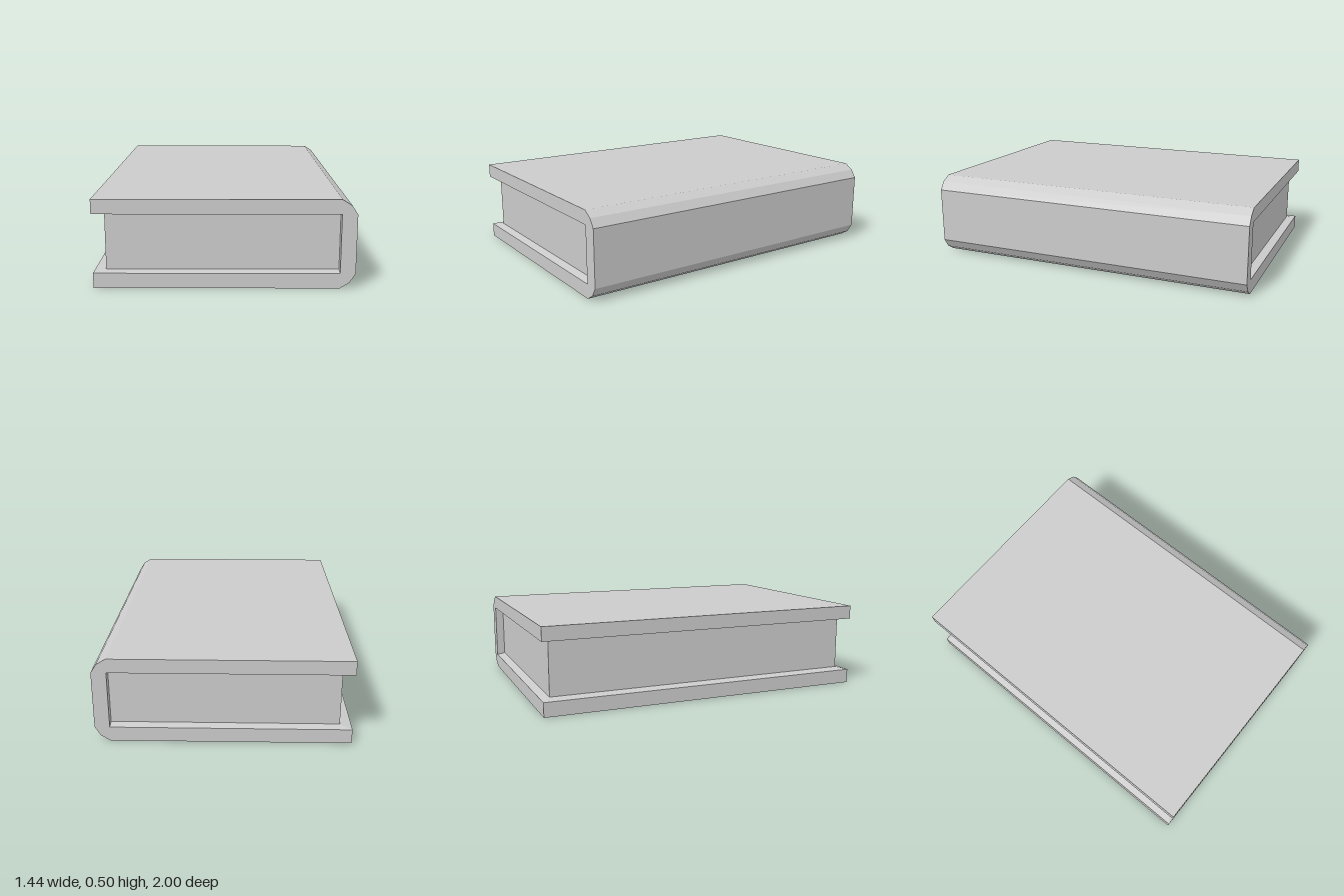
import * as THREE from 'three';

const material = new THREE.MeshStandardMaterial({ color: 0xcccccc, flatShading: true });

// Main dimensions
const HALF_W = 0.72, HALF_L = 1, HEIGHT = 0.5;
const SPINE_X = 0.635;              // inner face of the spine
const LOW = 0.085, HIGH = 0.418;    // inner faces of the two boards
const PAGE_X = -0.655, PAGE_Z = 0.95;

function addMesh(parent, name, geometry) {
  const mesh = new THREE.Mesh(geometry, material);
  mesh.name = name;
  parent.add(mesh);
  return mesh;
}

// Box given by its minimum and maximum corners
function boxBetween(x0, x1, y0, y1, z0, z1) {
  return new THREE.BoxGeometry(x1 - x0, y1 - y0, z1 - z0)
    .translate((x0 + x1) / 2, (y0 + y1) / 2, (z0 + z1) / 2);
}

// Shallow lining on a board, sloping from its outer edge in to the pages
function liningGeometry(boardY, pageY) {
  const geometry = boxBetween(-HALF_W, SPINE_X,
    Math.min(boardY, pageY), Math.max(boardY, pageY), -HALF_L, HALF_L);
  const p = geometry.attributes.position;
  for (let i = 0; i < p.count; i++) {
    if (Math.abs(p.getY(i) - pageY) > 0.001) continue;
    if (p.getX(i) < 0) p.setX(i, PAGE_X);
    p.setZ(i, Math.sign(p.getZ(i)) * PAGE_Z);
  }
  geometry.computeVertexNormals();
  return geometry;
}

export function createModel() {
  const book = new THREE.Group();
  book.name = 'book';

  // Cover: two boards joined by a spine with faceted corners
  const profile = new THREE.Shape([
    [-HALF_W, 0], [SPINE_X, 0], [0.688, 0.033], [HALF_W, LOW],
    [HALF_W, HIGH], [0.688, 0.467], [SPINE_X, HEIGHT], [-HALF_W, HEIGHT],
    [-HALF_W, HIGH], [SPINE_X, HIGH], [SPINE_X, LOW], [-HALF_W, LOW],
  ].map(([x, y]) => new THREE.Vector2(x, y)));
  const cover = new THREE.ExtrudeGeometry(profile, { depth: 2 * HALF_L, bevelEnabled: false });
  addMesh(book, 'cover', cover.translate(0, 0, -HALF_L));

  // Sloped linings inside the boards
  addMesh(book, 'lowerLining', liningGeometry(LOW, LOW + 0.009));
  addMesh(book, 'upperLining', liningGeometry(HIGH, HIGH - 0.009));

  // Page block, set back from three edges of the cover
  addMesh(book, 'pages', boxBetween(PAGE_X, SPINE_X, LOW + 0.009, HIGH - 0.009, -PAGE_Z, PAGE_Z));

  return book;
}
